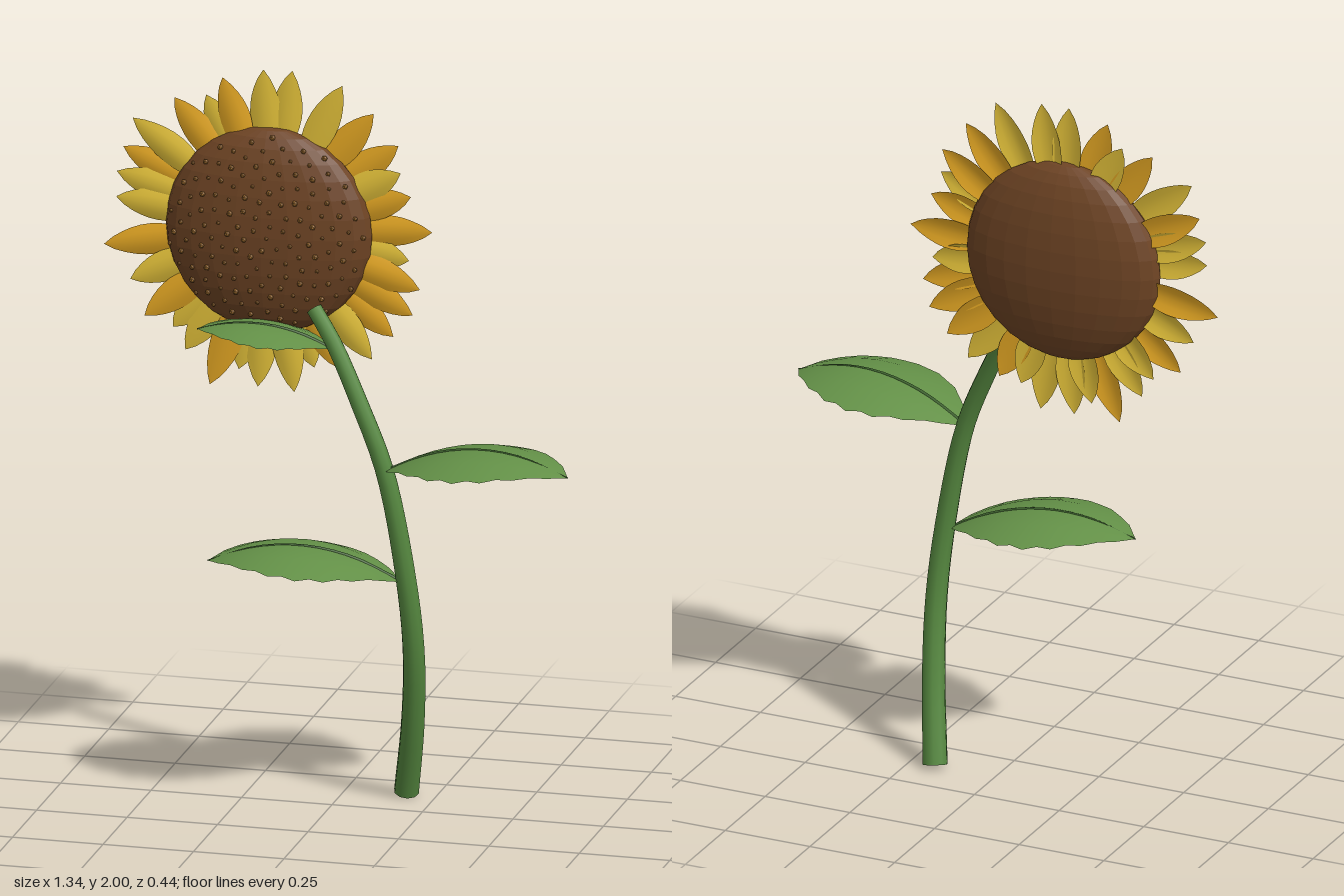
import * as THREE from 'three';
import { mergeGeometries } from 'three/addons/utils/BufferGeometryUtils.js';

const mat = (name, color, extra = {}) => new THREE.MeshStandardMaterial({ name, color, ...extra });

// Arched blade along +x with its upper face to +y; used for leaves and petals
function blade({ length, half, rise = 0, arch, droop, segs, width }) {
  const pos = [], idx = [], across = 4;
  for (let i = 0; i <= segs; i++) {
    const t = i / segs, w = width(t, i);
    for (let j = 0; j <= across; j++) {
      const u = (j / across) * 2 - 1;
      pos.push(t * length, rise * t + arch * 4 * t * (1 - t) - droop * (u * w) ** 2, u * w * half);
      if (i < segs && j < across) {
        const a = i * (across + 1) + j, c = a + across + 1;
        idx.push(a, a + 1, c, a + 1, c + 1, c);
      }
    }
  }
  const g = new THREE.BufferGeometry();
  g.setAttribute('position', new THREE.Float32BufferAttribute(pos, 3));
  g.setIndex(idx);
  g.computeVertexNormals();
  return g;
}

// Tube whose radius shrinks from r0 to r1
function taperedTube(path, r0, r1, rows, sides) {
  const g = new THREE.TubeGeometry(path, rows, 1, sides);
  const p = g.attributes.position, v = new THREE.Vector3();
  for (let i = 0; i < p.count; i++) {
    const u = Math.floor(i / (sides + 1)) / rows, c = path.getPointAt(u);
    v.fromBufferAttribute(p, i).sub(c).multiplyScalar(r0 + (r1 - r0) * u).add(c);
    p.setXYZ(i, v.x, v.y, v.z);
  }
  return g;
}

export function createModel() {
  const model = new THREE.Group();
  model.name = 'sunflower';
  const two = { side: THREE.DoubleSide };
  const stemGreen = mat('stem green', 0x55873f);
  const leafGreen = mat('leaf green', 0x639047, two);
  const veinGreen = mat('vein green', 0x3f6530);
  const brown = mat('disc brown', 0x6e4424, { flatShading: true });
  const seedTan = mat('seed tan', 0x9a6a2e, { flatShading: true });
  const yellow = mat('petal yellow', 0xe3c13a, two);
  const orange = mat('petal orange', 0xe5a824, two);
  const add = (parent, name, geo, material) => {
    const m = new THREE.Mesh(geo, material);
    m.name = name;
    parent.add(m);
    return m;
  };

  // Curved stem with end caps
  const path = new THREE.CatmullRomCurve3([
    [0.17, 0.012, -0.135], [0.205, 0.23, -0.07], [0.22, 0.44, -0.022], [0.205, 0.65, 0.002],
    [0.148, 0.945, 0.005], [0.07, 1.13, -0.015], [-0.01, 1.28, -0.05], [-0.07, 1.36, -0.078],
  ].map((p) => new THREE.Vector3(...p)));
  add(model, 'stem', taperedTube(path, 0.034, 0.022, 28, 10), stemGreen);
  for (const [u, r, s, name] of [[0, 0.034, -1, 'stemBase'], [1, 0.022, 1, 'stemTip']]) {
    const cap = add(model, name, new THREE.CircleGeometry(r, 10), stemGreen);
    cap.position.copy(path.getPointAt(u));
    cap.lookAt(cap.position.clone().addScaledVector(path.getTangentAt(u), s));
  }

  // Leaves: base point, tip point, half width, arch, droop of the edges
  const leaves = [
    ['leftLeaf', [0.15, 0.95, 0.008], [0.67, 0.99, 0.07], 0.182, 0.07, 0.042],
    ['rightLeaf', [0.19, 0.645, 0.008], [-0.325, 0.68, 0.07], 0.182, 0.07, 0.042],
    ['upperLeaf', [-0.015, 1.262, -0.05], [-0.375, 1.3, -0.01], 0.125, 0.04, 0.03],
  ];
  for (const [name, a, b, half, arch, droop] of leaves) {
    const leaf = new THREE.Group();
    leaf.name = name;
    leaf.position.set(...a);
    const dx = b[0] - a[0], dz = b[2] - a[2], length = Math.hypot(dx, dz), rise = b[1] - a[1];
    leaf.rotation.y = Math.atan2(-dz, dx);
    add(leaf, 'leafBlade', blade({
      length, half, rise, arch, droop, segs: 14,
      width: (t, i) => Math.max(0.05 * (1 - t), Math.sin(Math.PI * t) ** 0.75 * (i % 2 ? 1.01 : 0.95)),
    }), leafGreen);
    const rib = new THREE.CatmullRomCurve3([0, 0.25, 0.5, 0.75, 1].map(
      (t) => new THREE.Vector3(t * length, rise * t + arch * 4 * t * (1 - t), 0)));
    add(leaf, 'leafVein', taperedTube(rib, 0.006, 0.002, 14, 5), veinGreen);
    model.add(leaf);
  }

  // Flower head: a flattened ball
  const head = new THREE.Group();
  head.name = 'flowerHead';
  head.position.set(-0.21, 1.555, -0.135);
  model.add(head);
  const R = 0.285, D = 0.087;
  add(head, 'disc', new THREE.SphereGeometry(1, 24, 16).scale(R, R, D), brown);

  // Seeds in a spiral over the front of the disc
  const seeds = [];
  for (let i = 0; i < 150; i++) {
    const q = Math.sqrt((i + 0.5) / 150) * 0.96, a = i * 2.39996;
    const s = 0.0055 + 0.003 * ((i * 7) % 5) / 4;
    seeds.push(new THREE.IcosahedronGeometry(s, 0).translate(
      q * R * Math.cos(a), q * R * Math.sin(a), D * Math.sqrt(1 - q * q) + 0.002));
  }
  add(head, 'seeds', mergeGeometries(seeds), seedTan);

  // Petals: angle in degrees, reach from the centre, 1 for orange
  const petals = [
    [3, 0.45, 1], [17, 0.41, 1], [27, 0.41, 0], [36, 0.44, 1], [50, 0.45, 1], [64, 0.465, 0],
    [82, 0.45, 0], [92, 0.445, 0], [107, 0.435, 1], [116, 0.4, 0], [127, 0.435, 1], [143, 0.47, 0],
    [154, 0.45, 1], [163, 0.44, 0], [172, 0.425, 0], [190, 0.465, 1], [204, 0.42, 0], [218, 0.435, 1],
    [228, 0.4, 0], [237, 0.425, 0], [250, 0.475, 1], [258, 0.41, 0], [266, 0.445, 0], [279, 0.455, 0],
    [288, 0.4, 0], [297, 0.42, 1], [310, 0.445, 0], [321, 0.44, 1], [332, 0.45, 1], [342, 0.44, 1],
    [351, 0.39, 0],
  ];
  petals.forEach(([deg, reach, isOrange], i) => {
    const g = blade({
      length: reach - 0.19, half: 0.043, arch: 0.004, droop: 0.011, segs: 10,
      width: (t) => Math.sin(Math.PI * t ** 1.05) ** 0.8 || 0,
    });
    g.rotateX(Math.PI / 2).translate(0.19, 0, (i % 3) * 0.006 - 0.007);
    add(head, 'petal', g, isOrange ? orange : yellow).rotation.z = THREE.MathUtils.degToRad(deg);
  });
  return model;
}
